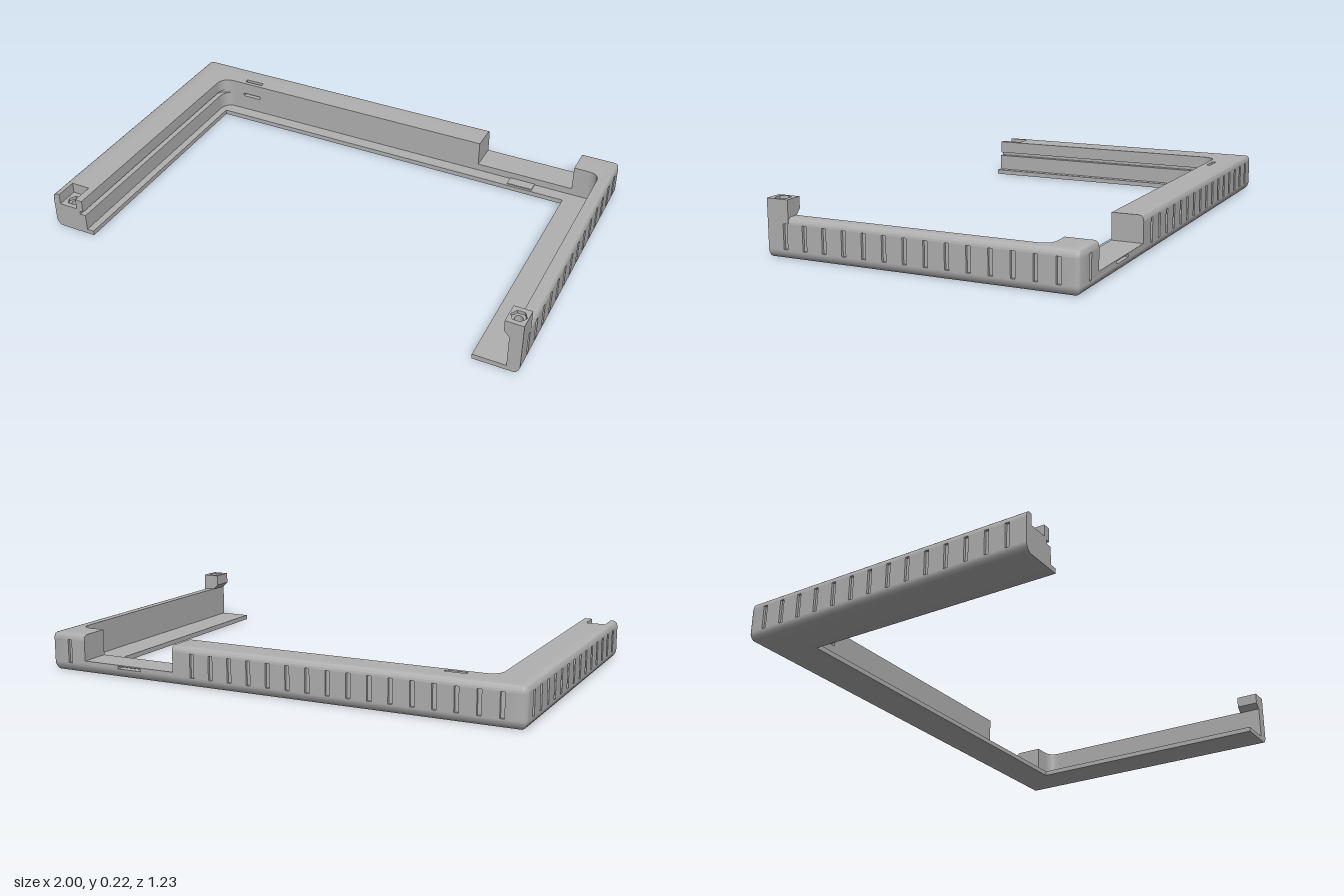
import * as THREE from 'three';
import { toCreasedNormals } from 'three/addons/utils/BufferGeometryUtils.js';

const W = 1, D = 0.615, R = 0.02;          // half width, half depth, corner radius
const L = 2 * D, BACK = L + W, END = 2 * L + 2 * W; // distances along the U path
const NOTCH = [0.42, 0.84], TOP = 0.155;

export function createModel() {
  const group = new THREE.Group();
  const grey = new THREE.MeshStandardMaterial({ color: 0xb0b0b0 });
  grey.name = 'greyPlastic';

  const add = (name, geometry) => {
    const mesh = new THREE.Mesh(toCreasedNormals(geometry, 0.6), grey);
    mesh.name = name;
    group.add(mesh);
  };

  // Cross-section of the U path at distance s; maps inward depth d to [x, z]
  const straight = (s) => (d) => {
    if (s < L) return [-W + d, D - s];
    if (s < L + 2 * W) return [-W + s - L, -D + d];
    return [W - d, -D + s - L - 2 * W];
  };
  const corner = (side, a) => (d) => {
    const m = Math.max(R, d), q = Math.max(R - d, 0);
    return [side * (W - m + q * Math.cos(a)), -D + m - q * Math.sin(a)];
  };

  // Sweep a closed profile of [depth, y] along the U from s0 to s1
  const sweep = (name, s0, s1, profile) => {
    const stations = [straight(s0)];
    for (const [s, side] of [[L, -1], [L + 2 * W, 1]]) {
      if (s <= s0 || s >= s1) continue;
      for (let i = 0; i <= 4; i++) {
        stations.push(corner(side, (side < 0 ? i : 4 - i) * Math.PI / 8));
      }
    }
    stations.push(straight(s1));
    const n = profile.length, pos = [], index = [];
    for (const at of stations) {
      for (const [d, y] of profile) {
        const [x, z] = at(d);
        pos.push(x, y, z);
      }
    }
    for (let i = 0; i < stations.length - 1; i++) {
      for (let j = 0; j < n; j++) {
        const a = i * n + j, b = i * n + (j + 1) % n;
        index.push(a, b + n, b, a, a + n, b + n);
      }
    }
    const last = (stations.length - 1) * n;
    const contour = profile.map((p) => new THREE.Vector2(...p));
    for (const [a, b, c] of THREE.ShapeUtils.triangulateShape(contour, [])) {
      index.push(a, b, c, last + c, last + b, last + a);
    }
    const g = new THREE.BufferGeometry();
    g.setAttribute('position', new THREE.Float32BufferAttribute(pos, 3));
    g.setIndex(index);
    add(name, g);
  };

  // Extrude a plan outline of [x, z] (four numbers: curve control, then end) upward
  const outline = (points, Type = THREE.Shape) => {
    const shape = new Type();
    points.forEach((p, i) => {
      if (i === 0) shape.moveTo(p[0], -p[1]);
      else if (p.length === 4) shape.quadraticCurveTo(p[0], -p[1], p[2], -p[3]);
      else shape.lineTo(p[0], -p[1]);
    });
    shape.closePath();
    return shape;
  };
  const rect = (x0, x1, z0, z1) => [[x0, z1], [x1, z1], [x1, z0], [x0, z0]];
  const ring = (x, z, r, n) => Array.from({ length: n }, (_, i) => {
    const a = i * 2 * Math.PI / n;
    return [x + r * Math.cos(a), z + r * Math.sin(a)];
  });
  const plan = (name, points, y0, y1, holes = []) => {
    const shape = outline(points);
    shape.holes = holes.map((h) => outline(h, THREE.Path));
    const g = new THREE.ExtrudeGeometry(shape, { depth: y1 - y0, bevelEnabled: false, curveSegments: 8 });
    g.rotateX(-Math.PI / 2).translate(0, y0, 0);
    add(name, g);
  };

  // Floor with inner lip and rounded lower edge
  sweep('floor', 0, END, [[0.02, 0], [0.18, 0], [0.18, 0.02], [0.05, 0.02], [0.05, 0.035],
    [0, 0.035], [0, 0.028], [0.004, 0.016], [0.011, 0.006]]);

  // Outer walls, with the grip band set back to receive the ribs
  const wall = (w) => [[0.01, 0.035], [w, 0.035], [w, TOP], [0.018, TOP], [0.01, 0.153],
    [0.004, 0.148], [0.001, 0.14], [0, 0.13], [0.01, 0.13]];
  sweep('pocketOuterWall', 0, 0.09, wall(0.03));
  sweep('rightOuterWall', 0.09, BACK + NOTCH[0], wall(0.05));
  sweep('leftOuterWall', BACK + NOTCH[1], END, wall(0.05));

  // Grip band: solid pieces between evenly spaced slots
  const slots = [];
  for (let k = 0; k < 14; k++) {
    const s = D - 0.5395 + 0.083 * k;
    slots.push(s, END - s);
  }
  for (let k = -11; k <= 11; k++) if (k < 5 || k > 10) slots.push(BACK + 0.083 * k);
  slots.sort((a, b) => a - b);
  const band = [[0, 0.035], [0.01, 0.035], [0.01, 0.13], [0, 0.13]];
  for (const [from, to] of [[0, BACK + NOTCH[0]], [BACK + NOTCH[1], END]]) {
    let s = from;
    for (const c of slots.filter((v) => v > from && v < to)) {
      sweep('gripBand', s, c - 0.0085, band);
      s = c + 0.0085;
    }
    sweep('gripBand', s, to, band);
  }

  // Thick right arm and back bar, in layers that leave a rail groove and a tie channel
  const body = (xi, cut = []) => [[-0.95, 0.525], [-0.89, 0.525], [-0.89, D], [xi, D], [xi, -0.43],
    [xi, -0.49, -0.8, -0.49], ...cut, [NOTCH[0], -0.49], [NOTCH[0], -0.565], [-0.95, -0.565]];
  const channel = [[-0.75, -0.49], [-0.75, -0.525], [-0.665, -0.525], [-0.665, -0.49]];
  plan('lowerBody', body(-0.85), 0.02, 0.088);
  plan('grooveBody', body(-0.875, channel), 0.088, 0.102);
  plan('upperBody', body(-0.86), 0.102, TOP, [rect(-0.75, -0.665, -0.525, -0.508)]);

  // Left rear corner block with a concave inner face
  plan('cornerBlock', [[NOTCH[1], -0.49], [0.9, -0.49], [0.95, -0.49, 0.95, -0.44],
    [0.95, -0.565], [NOTCH[1], -0.565]], 0.02, TOP);

  // Low sill across the gap, with a slot in its rear face
  plan('sillBase', rect(...NOTCH, -0.565, -0.49), 0.02, 0.035);
  plan('sillMiddle', [[NOTCH[0], -0.49], [NOTCH[1], -0.49], [NOTCH[1], -D], [0.68, -D],
    [0.68, -0.585], [0.57, -0.585], [0.57, -D], [NOTCH[0], -D]], 0.035, 0.045);
  plan('sillTop', rect(...NOTCH, -D, -0.49), 0.045, 0.05);
  plan('lipPad', rect(0.57, 0.68, -0.49, -0.445), 0.018, 0.024);

  // Screw seats: hexagonal recess over a round hole
  const seat = (name, x0, x1, y0, y1, cx) => {
    const area = rect(x0, x1, 0.525, D);
    plan(name + 'Base', area, y0, y1 - 0.012, [ring(cx, 0.57, 0.016, 16)]);
    plan(name + 'Top', area, y1 - 0.012, y1, [ring(cx, 0.57, 0.03, 6)]);
  };
  seat('pocketSeat', -0.97, -0.89, 0.02, 0.11, -0.93);
  seat('towerSeat', 0.928, 1, 0.175, 0.22, 0.964);

  // Flared neck beneath the tower
  const neck = new THREE.Shape([[0.95, 0.13], [1, 0.13], [1, 0.175], [0.928, 0.175], [0.95, 0.153]]
    .map((p) => new THREE.Vector2(...p)));
  add('towerNeck', new THREE.ExtrudeGeometry(neck, { depth: D - 0.525, bevelEnabled: false })
    .translate(0, 0, 0.525));

  return group;
}
